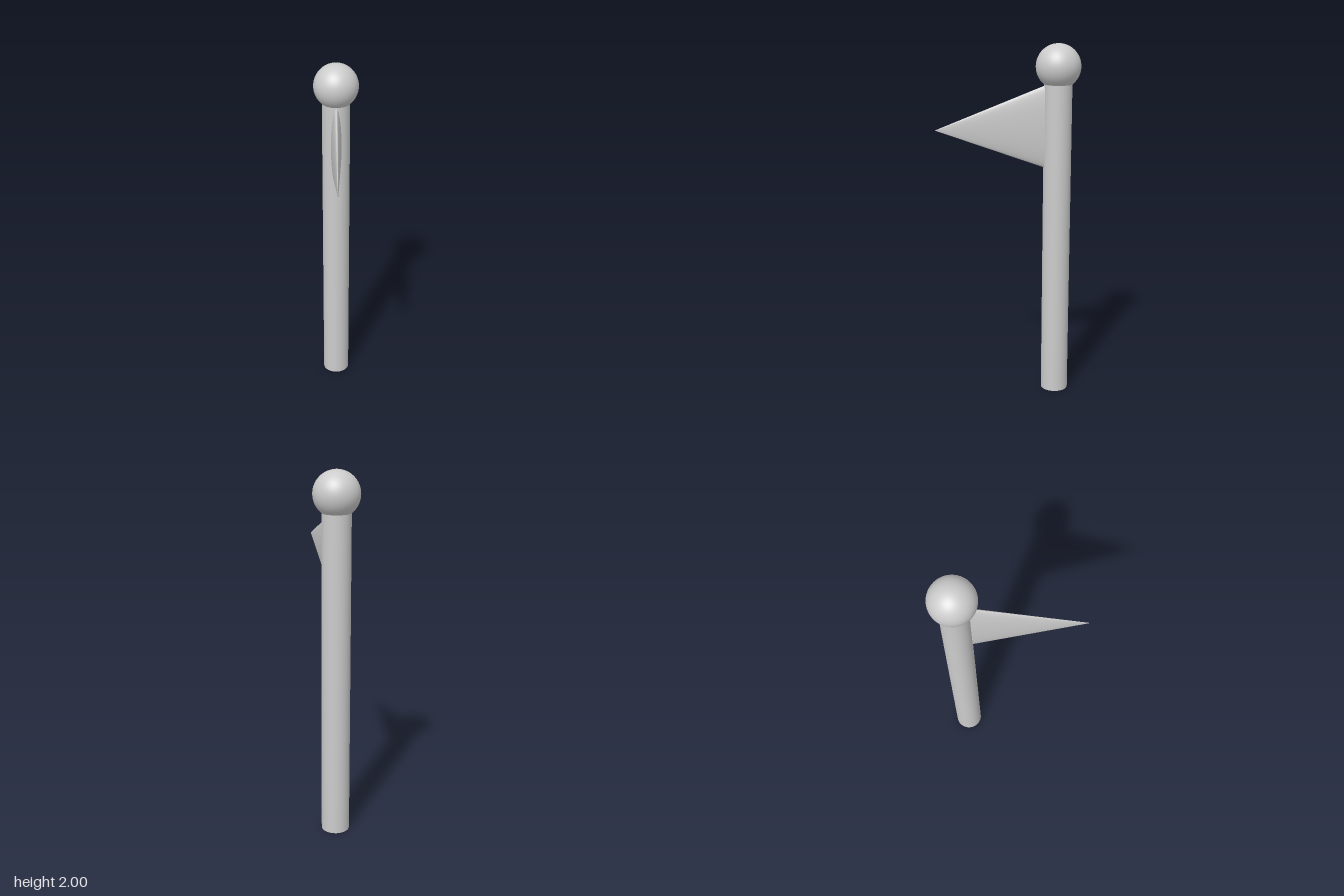
import * as THREE from 'three';

const POLE_Z = -0.277;

export function createModel() {
  const group = new THREE.Group();
  const material = new THREE.MeshStandardMaterial({ color: 0xcccccc });

  const addPart = (name, geometry, y, z) => {
    const mesh = new THREE.Mesh(geometry, material);
    mesh.name = name;
    mesh.position.set(0, y, z);
    group.add(mesh);
  };

  // Upright pole standing on the ground
  addPart('pole', new THREE.CylinderGeometry(0.077, 0.077, 1.782, 48), 0.891, POLE_Z);

  // Ball on top of the pole
  addPart('finial', new THREE.SphereGeometry(0.123, 48, 32), 1.877, POLE_Z);

  // Pennant: a cone pointing forward, flattened sideways
  const pennant = new THREE.ConeGeometry(0.225, 0.6, 48);
  pennant.rotateX(Math.PI / 2);
  pennant.scale(0.13, 1, 1);
  addPart('pennant', pennant, 1.55, 0.1);

  return group;
}
